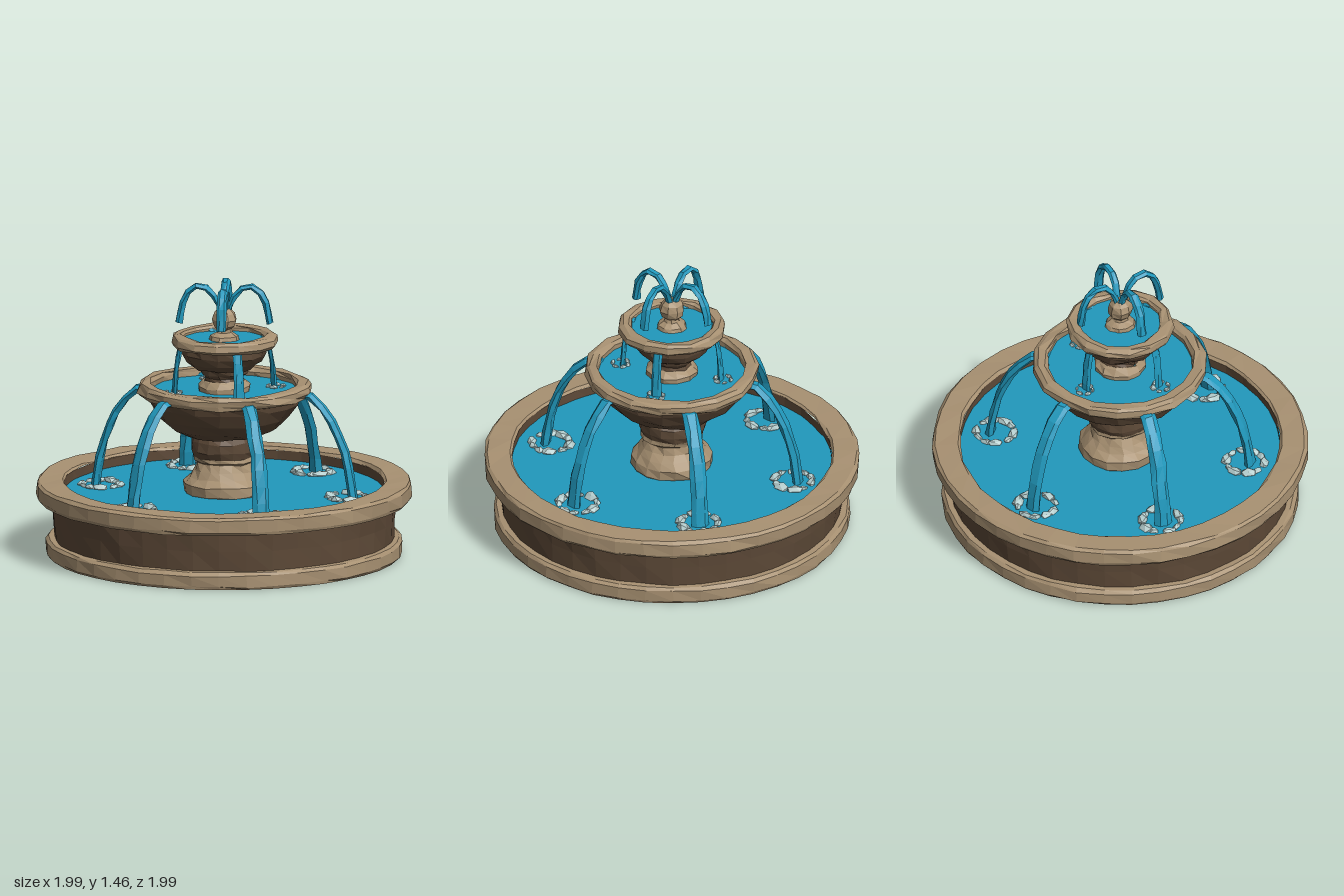
import * as THREE from 'three';
import { mergeGeometries } from 'three/addons/utils/BufferGeometryUtils.js';

const stone = new THREE.MeshStandardMaterial({ color: 0xa89172 });
stone.name = 'light stone';
const darkStone = new THREE.MeshStandardMaterial({ color: 0x5e4a38 });
darkStone.name = 'dark stone';
const water = new THREE.MeshStandardMaterial({ color: 0x2199bd });
water.name = 'water';
const foam = new THREE.MeshStandardMaterial({ color: 0xb4cccc });
foam.name = 'foam';

// Repeatable noise in -1..1 from a position, so shared corners move together
function noise(x, y, z, k) {
  const q = (v) => Math.round(v * 500);
  const s = Math.sin(q(x) * 12.9898 + q(y) * 78.233 + q(z) * 37.719 + k * 51.3) * 43758.5453;
  return (s - Math.floor(s)) * 2 - 1;
}

// Hewn, faceted look: shift the corners a little, then flat normals
function hew(geometry, amount) {
  const p = geometry.attributes.position;
  for (let i = 0; i < p.count; i++) {
    const x = p.getX(i), y = p.getY(i), z = p.getZ(i);
    p.setXYZ(i,
      x + noise(x, y, z, 1) * amount,
      y < 0.001 ? y : y + noise(x, y, z, 2) * amount * 0.7,
      z + noise(x, y, z, 3) * amount);
  }
  return facet(geometry);
}

function facet(geometry) {
  const g = geometry.index ? geometry.toNonIndexed() : geometry;
  g.computeVertexNormals();
  return g;
}

function add(group, name, geometry, material) {
  const mesh = new THREE.Mesh(geometry, material);
  mesh.name = name;
  group.add(mesh);
  return mesh;
}

// Turned stone part from [radius, height] pairs, outside going up
function turned(group, name, profile, sides, amount, material) {
  const pts = profile.map(([r, y]) => new THREE.Vector2(r, y));
  return add(group, name, hew(new THREE.LatheGeometry(pts, sides), amount), material);
}

function pool(group, name, radius, y) {
  const g = new THREE.CircleGeometry(radius, 32).rotateX(-Math.PI / 2).translate(0, y, 0);
  return add(group, name, g, water);
}

// Flat stream of water: a capped prism bent along a path of [radius, height] pairs
function stream(path, halfWidth, halfDepth, steps, taper) {
  const curve = new THREE.CatmullRomCurve3(path.map(([r, y]) => new THREE.Vector3(r, y, 0)));
  const g = new THREE.CylinderGeometry(1, 1, 1, 6, steps);
  const p = g.attributes.position;
  for (let i = 0; i < p.count; i++) {
    const t = THREE.MathUtils.clamp(p.getY(i) + 0.5, 0, 1);
    const c = curve.getPointAt(t), d = curve.getTangentAt(t);
    const s = THREE.MathUtils.lerp(taper, 1, t);
    const a = p.getX(i) * halfDepth * s, b = p.getZ(i) * halfWidth * s;
    p.setXYZ(i, c.x + d.y * a, c.y - d.x * a, b);
  }
  return g;
}

// Broken ring of foam lumps
function foamRing(radius, lump, count) {
  const lumps = [];
  for (let i = 0; i < count; i++) {
    const a = (i / count) * Math.PI * 2 + noise(i, count, 0, 4) * 0.15;
    const s = lump * (1 + 0.3 * noise(i, 2, count, 5));
    lumps.push(new THREE.IcosahedronGeometry(1, 0)
      .scale(s * 0.75, s * 0.7, s * 1.25)
      .rotateY(-a)
      .translate(Math.cos(a) * radius, 0, Math.sin(a) * radius));
  }
  return mergeGeometries(lumps);
}

export function createModel() {
  const model = new THREE.Group();
  model.name = 'fountain';

  // Main basin
  const basin = new THREE.Group();
  basin.name = 'basin';
  model.add(basin);
  add(basin, 'basinUnderside',
    new THREE.CircleGeometry(0.93, 40).rotateX(Math.PI / 2), darkStone);
  turned(basin, 'basinPlinth',
    [[0.935, 0], [0.945, 0.015], [0.945, 0.075], [0.93, 0.092], [0.88, 0.095]], 40, 0.005, stone);
  turned(basin, 'basinWall', [[0.9, 0.08], [0.908, 0.2], [0.918, 0.31]], 40, 0.004, darkStone);
  turned(basin, 'basinRim',
    [[0.9, 0.3], [0.985, 0.303], [0.995, 0.32], [0.995, 0.385], [0.98, 0.4], [0.86, 0.4], [0.848, 0.385]],
    40, 0.005, stone);
  turned(basin, 'basinInnerWall', [[0.848, 0.387], [0.85, 0.28]], 40, 0.004, darkStone);
  pool(basin, 'basinWater', 0.86, 0.335);

  // Pedestal
  const pedestal = new THREE.Group();
  pedestal.name = 'pedestal';
  model.add(pedestal);
  turned(pedestal, 'pedestalFoot',
    [[0.19, 0.3], [0.215, 0.34], [0.215, 0.39], [0.185, 0.425], [0.16, 0.46], [0.145, 0.5], [0.165, 0.515], [0.165, 0.535], [0.1, 0.54]],
    16, 0.007, stone);
  turned(pedestal, 'pedestalNeck',
    [[0.12, 0.52], [0.165, 0.535], [0.178, 0.57], [0.178, 0.62], [0.16, 0.65], [0.16, 0.67]],
    16, 0.006, darkStone);

  // Middle bowl
  const middle = new THREE.Group();
  middle.name = 'middleBowl';
  model.add(middle);
  turned(middle, 'middleBowlBody',
    [[0.1, 0.645], [0.2, 0.65], [0.28, 0.69], [0.35, 0.75], [0.395, 0.82], [0.41, 0.87]],
    18, 0.007, darkStone);
  turned(middle, 'middleBowlRim',
    [[0.39, 0.855], [0.445, 0.862], [0.462, 0.885], [0.458, 0.915], [0.44, 0.93], [0.4, 0.927], [0.388, 0.91], [0.39, 0.85]],
    18, 0.009, stone);
  pool(middle, 'middleBowlWater', 0.4, 0.885);

  // Upper pillar
  turned(model, 'upperPillarFoot',
    [[0.135, 0.86], [0.14, 0.91], [0.12, 0.935], [0.105, 0.945]], 12, 0.006, stone);
  turned(model, 'upperPillar',
    [[0.105, 0.935], [0.1, 0.96], [0.125, 0.98], [0.13, 1.005], [0.11, 1.02]], 12, 0.006, darkStone);

  // Upper bowl
  const upper = new THREE.Group();
  upper.name = 'upperBowl';
  model.add(upper);
  turned(upper, 'upperBowlBody',
    [[0.08, 1.0], [0.15, 1.008], [0.195, 1.04], [0.22, 1.085], [0.228, 1.14]],
    14, 0.007, darkStone);
  turned(upper, 'upperBowlRim',
    [[0.22, 1.122], [0.268, 1.126], [0.285, 1.145], [0.282, 1.175], [0.265, 1.19], [0.23, 1.188], [0.218, 1.175], [0.22, 1.12]],
    14, 0.007, stone);
  pool(upper, 'upperBowlWater', 0.23, 1.16);

  // Finial
  turned(model, 'finialStem', [[0.085, 1.15], [0.075, 1.18], [0.042, 1.2], [0.035, 1.23]], 10, 0.004, stone);
  add(model, 'finialBall',
    hew(new THREE.SphereGeometry(0.068, 8, 6).translate(0, 1.268, 0), 0.004), stone);

  // Four jets arching from the finial
  for (let i = 0; i < 4; i++) {
    const g = stream([[0.015, 1.29], [0.045, 1.38], [0.1, 1.44], [0.165, 1.44], [0.215, 1.37], [0.24, 1.25]],
      0.027, 0.02, 8, 0.75);
    add(model, 'topJet', hew(g.rotateY((-20 + i * 90) * Math.PI / 180), 0.004), water);
  }

  // Four falls from the upper bowl into the middle bowl
  for (let i = 0; i < 4; i++) {
    const a = i * Math.PI / 2;
    const g = stream([[0.21, 1.165], [0.24, 1.14], [0.255, 1.08], [0.268, 0.98], [0.275, 0.87]],
      0.03, 0.013, 6, 0.8);
    add(model, 'upperFall', hew(g.rotateY(a), 0.003), water);
    const f = foamRing(0.042, 0.016, 6).translate(0.285, 0.888, 0).rotateY(a);
    add(model, 'upperFoam', hew(f, 0.003), foam);
  }

  // Six falls from the middle bowl into the basin
  for (let i = 0; i < 6; i++) {
    const a = Math.PI / 6 + i * Math.PI / 3;
    const g = stream([[0.385, 0.885], [0.45, 0.885], [0.54, 0.81], [0.62, 0.68], [0.675, 0.51], [0.705, 0.32]],
      0.046, 0.024, 8, 0.85);
    add(model, 'lowerFall', hew(g.rotateY(a), 0.005), water);
    const f = foamRing(0.1, 0.03, 10).translate(0.675, 0.338, 0).rotateY(a);
    add(model, 'lowerFoam', hew(f, 0.006), foam);
  }

  return model;
}
